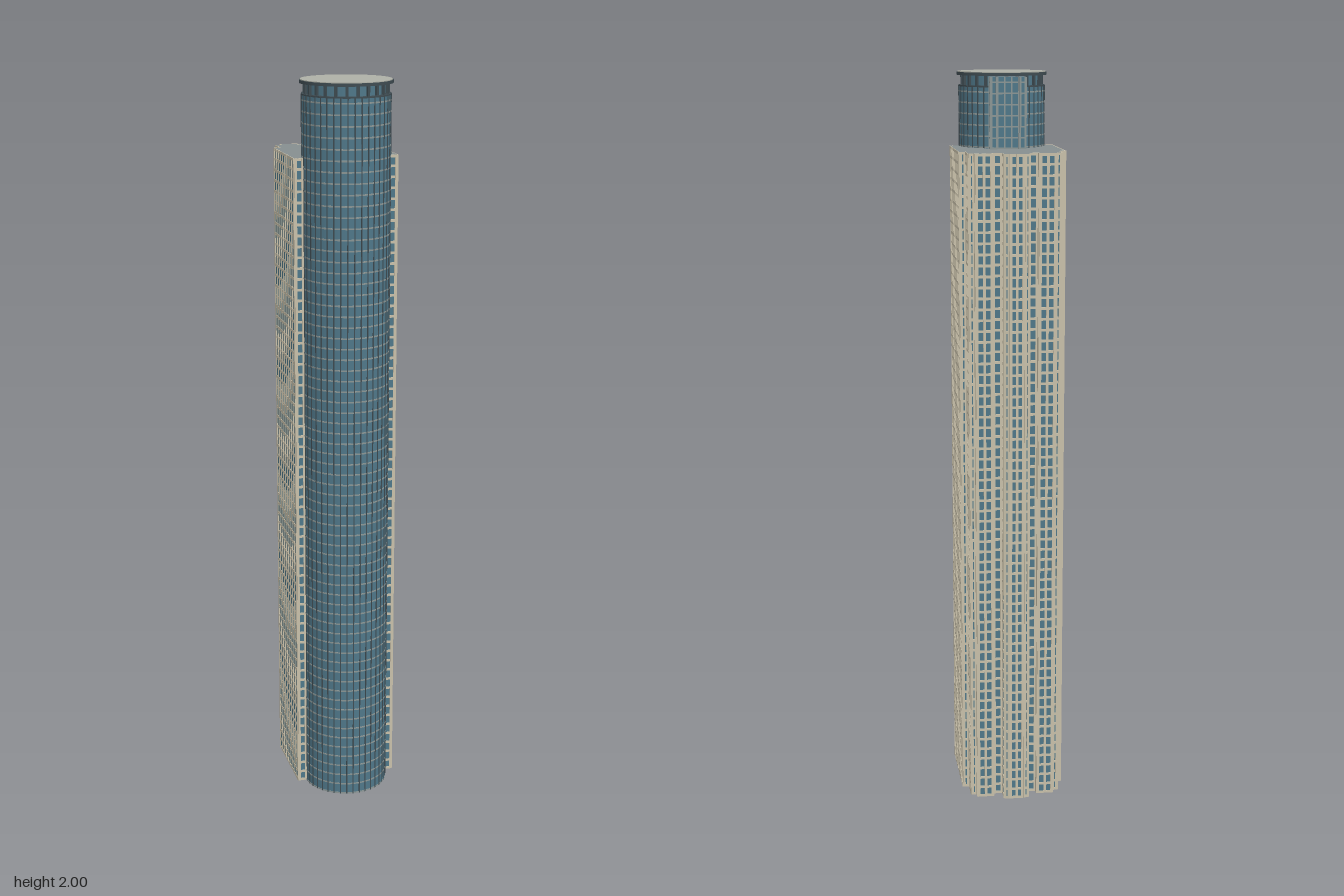
import * as THREE from 'three';
import { mergeGeometries } from 'three/addons/utils/BufferGeometryUtils.js';

const WING_H = 1.8, FLOOR = WING_H / 62;
const DRUM_Z = 0.093, DRUM_R = 0.1165, DRUM_H = 1.962;

function makeMaterial(name, color, side = THREE.FrontSide) {
  const m = new THREE.MeshStandardMaterial({ color, side });
  m.name = name;
  return m;
}

// Mirror a half plan (x > 0, front to back) into a full run from +x round to -x
function mirrored(half) {
  return [...half, ...half.slice().reverse().map(([x, z]) => [-x, z])];
}

// Glass walls plus a lattice of piers and floor bands along a run of plan points
function facade(run, y0, y1, bay, pier, band) {
  const walls = [], lattice = [];
  const height = y1 - y0, mid = (y0 + y1) / 2;
  for (let i = 0; i < run.length - 1; i++) {
    const [ax, az] = run[i], [bx, bz] = run[i + 1];
    const dx = bx - ax, dz = bz - az, len = Math.hypot(dx, dz);
    const angle = Math.atan2(-dz, dx);
    const place = (g, t, y) =>
      g.rotateY(angle).translate(ax + dx * t, y, az + dz * t);
    walls.push(place(new THREE.PlaneGeometry(len, height), 0.5, mid));
    const n = Math.max(1, Math.round(len / bay));
    const w = Math.min(pier, len * 0.4);
    for (let k = 0; k <= n; k++) {
      const t = (w / 2 + (len - w) * k / n) / len;
      lattice.push(place(new THREE.BoxGeometry(w, height, 0.004), t, mid));
    }
    const floors = Math.round(height / FLOOR);
    for (let f = 0; f <= floors; f++) {
      const y = Math.min(Math.max(y0 + f * FLOOR, y0 + band / 2), y1 - band / 2);
      lattice.push(place(new THREE.BoxGeometry(len, band, 0.003), 0.5, y));
    }
  }
  return [mergeGeometries(walls), mergeGeometries(lattice)];
}

// Flat roof over a closed plan
function roofPlate(points, y) {
  const shape = new THREE.Shape(points.map(([x, z]) => new THREE.Vector2(x, -z)));
  return new THREE.ShapeGeometry(shape).rotateX(-Math.PI / 2).translate(0, y, 0);
}

export function createModel() {
  const model = new THREE.Group();
  model.name = 'tower';
  const glass = makeMaterial('blue glass', 0x4f7789, THREE.DoubleSide);
  const cream = makeMaterial('cream frame', 0xc8c0aa);
  const line = makeMaterial('grey floor line', 0x8b9695);
  const dark = makeMaterial('dark metal', 0x3f4c52);
  const roofGrey = makeMaterial('roof grey', 0x858e8f, THREE.DoubleSide);
  const capGrey = makeMaterial('cap grey', 0xaeb0a6);

  const add = (name, geometry, material, parent = model) => {
    const mesh = new THREE.Mesh(geometry, material);
    mesh.name = name;
    parent.add(mesh);
    return mesh;
  };

  // Rear wing with stepped corners and a central bay
  const wing = new THREE.Group();
  wing.name = 'rearWing';
  model.add(wing);
  const wingPlan = mirrored([
    [0.115, 0.095], [0.141, 0.095], [0.141, -0.124], [0.123, -0.124],
    [0.123, -0.179], [0.107, -0.179], [0.107, -0.194], [0.061, -0.194],
    [0.061, -0.179], [0.034, -0.179], [0.034, -0.213], [0.02, -0.217],
  ]);
  const [wingGlass, wingFrame] = facade(wingPlan, 0, WING_H, 0.024, 0.007, 0.007);
  add('wingGlass', wingGlass, glass, wing);
  add('wingFrame', wingFrame, cream, wing);
  add('wingRoof', roofPlate(wingPlan, WING_H), roofGrey, wing);

  // Round glass drum, open at the foot
  const drum = new THREE.Group();
  drum.name = 'roundTower';
  drum.position.z = DRUM_Z;
  model.add(drum);
  add('drumGlass', new THREE.CylinderGeometry(DRUM_R, DRUM_R, DRUM_H, 64, 1, true)
    .translate(0, DRUM_H / 2, 0), glass, drum);

  // Thin floor rings
  const rings = [];
  for (let y = 0.0025; y < DRUM_H; y += FLOOR) {
    const a = DRUM_R - 0.001, b = DRUM_R + 0.001, h = 0.002;
    const profile = [[a, -h], [b, -h], [b, h], [a, h], [a, -h]]
      .map(([r, dy]) => new THREE.Vector2(r, y + dy));
    rings.push(new THREE.LatheGeometry(profile, 48).toNonIndexed());
  }
  const ringGeometry = mergeGeometries(rings);
  ringGeometry.computeVertexNormals();
  add('floorRings', ringGeometry, line, drum);

  // Vertical mullions around the drum
  const mullions = [];
  for (let i = 0; i < 40; i++) {
    mullions.push(new THREE.BoxGeometry(0.003, DRUM_H, 0.003)
      .translate(0, DRUM_H / 2, DRUM_R).rotateY((i + 0.5) * Math.PI / 20));
  }
  add('mullions', mergeGeometries(mullions), dark, drum);

  // Crown: ledge, recessed neck, short posts and overhanging cap
  add('ledge', new THREE.CylinderGeometry(DRUM_R + 0.001, DRUM_R + 0.001, 0.004, 64)
    .translate(0, DRUM_H, 0), dark, drum);
  add('neck', new THREE.CylinderGeometry(0.104, 0.104, 0.03, 64, 1, true)
    .translate(0, 1.977, 0), glass, drum);
  const posts = [];
  for (let i = 0; i < 24; i++) {
    posts.push(new THREE.BoxGeometry(0.007, 0.03, 0.007)
      .translate(0, 1.977, 0.109).rotateY(i * Math.PI / 12));
  }
  add('crownPosts', mergeGeometries(posts), dark, drum);
  add('capRim', new THREE.CylinderGeometry(0.1225, 0.1225, 0.008, 64)
    .translate(0, 1.994, 0), dark, drum);
  add('capTop', new THREE.CylinderGeometry(0.12, 0.12, 0.003, 64)
    .translate(0, 1.9985, 0), capGrey, drum);

  // Service shaft behind the drum, rising from the wing roof
  const shaft = new THREE.Group();
  shaft.name = 'serviceShaft';
  model.add(shaft);
  const shaftPlan = mirrored([
    [0.047, -0.01], [0.047, -0.046], [0.03, -0.046], [0.03, -0.039],
  ]);
  const [shaftGlass, shaftFrame] = facade(shaftPlan, WING_H, 1.988, 0.02, 0.004, 0.004);
  add('shaftGlass', shaftGlass, glass, shaft);
  add('shaftFrame', shaftFrame, line, shaft);
  add('shaftRoof', roofPlate(shaftPlan, 1.988), roofGrey, shaft);

  return model;
}
